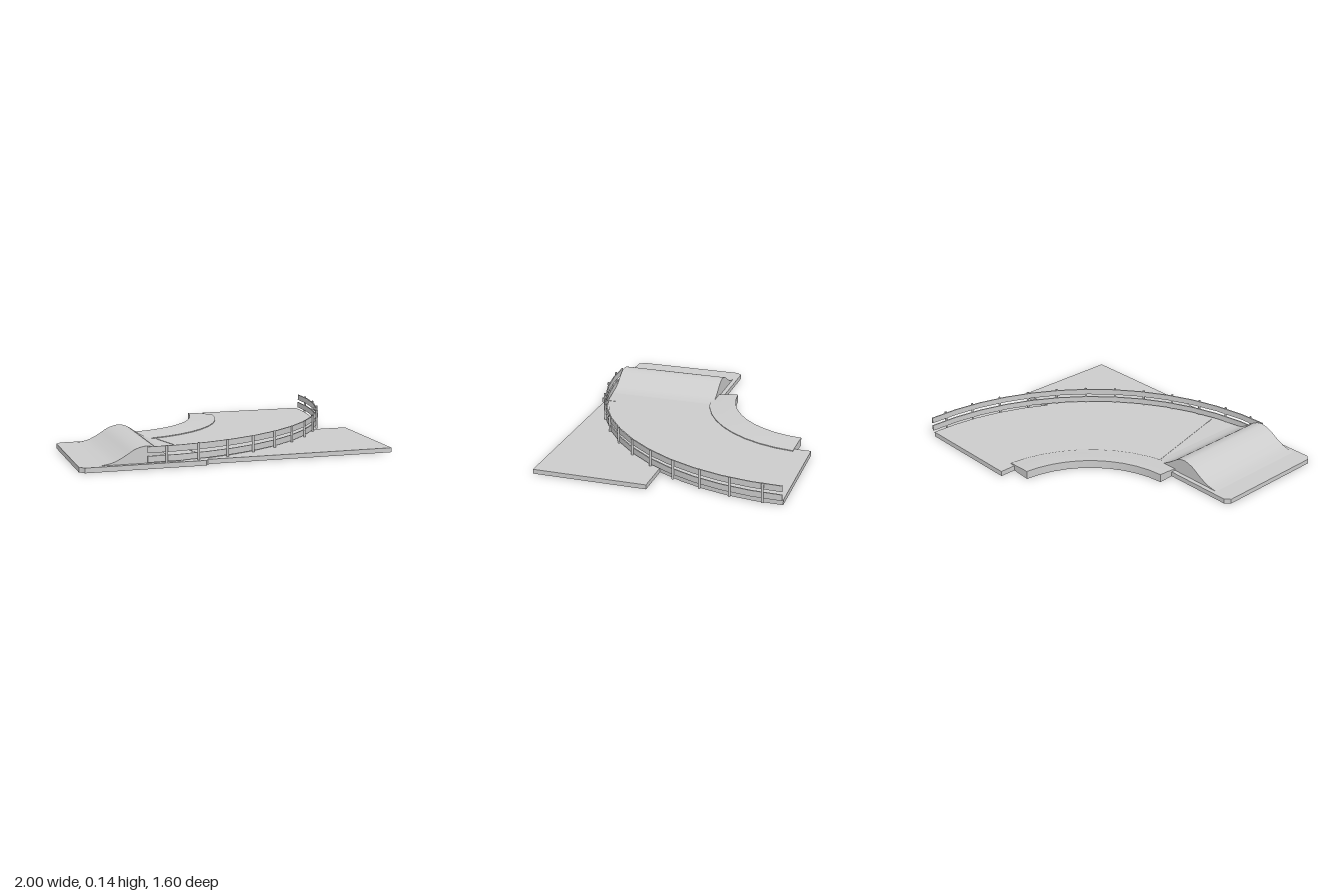
import * as THREE from 'three';
import { toCreasedNormals } from 'three/addons/utils/BufferGeometryUtils.js';

const CX = -0.55, CZ = -0.745; // centre of the bend
const rad = THREE.MathUtils.degToRad;
const material = new THREE.MeshStandardMaterial({ color: 0xcccccc, side: THREE.DoubleSide });

function add(parent, name, geometry) {
  const mesh = new THREE.Mesh(geometry, material);
  mesh.name = name;
  parent.add(mesh);
  return mesh;
}

// Drops the triangles that face straight down, leaving a hollow shell.
function openBottom(geometry) {
  const g = geometry.index ? geometry.toNonIndexed() : geometry;
  const p = g.attributes.position, kept = [];
  const t = new THREE.Triangle(), n = new THREE.Vector3();
  for (let i = 0; i < p.count; i += 3) {
    t.setFromAttributeAndIndices(p, i, i + 1, i + 2);
    t.getNormal(n);
    if (n.y > -0.9) for (const v of [t.a, t.b, t.c]) kept.push(v.x, v.y, v.z);
  }
  const out = new THREE.BufferGeometry();
  out.setAttribute('position', new THREE.Float32BufferAttribute(kept, 3));
  return toCreasedNormals(out, rad(35));
}

// Hollow plate from an outline of [x, z] points.
function plate(outline, height) {
  const shape = new THREE.Shape(outline.map(([x, z]) => new THREE.Vector2(x, -z)));
  const g = new THREE.ExtrudeGeometry(shape, { depth: height, bevelEnabled: false });
  return openBottom(g.rotateX(-Math.PI / 2));
}

// Point on the bend; 0 degrees is the front, 90 the left side.
const onArc = (r, deg) => [CX + r * Math.sin(rad(deg)), CZ + r * Math.cos(rad(deg))];

// Sweeps an [r, y] profile round the bend.
function sweep(profile, from, to, segments) {
  const pts = profile.map(([r, y]) => new THREE.Vector2(r, y));
  const g = new THREE.LatheGeometry(pts, segments, rad(from), rad(to - from));
  return toCreasedNormals(g, rad(35)).translate(CX, 0, CZ);
}

// Flat end face of a swept profile.
function endCap(profile, deg) {
  const shape = new THREE.Shape(profile.map(([r, y]) => new THREE.Vector2(r, y)));
  return new THREE.ShapeGeometry(shape).rotateY(rad(deg - 90)).translate(CX, 0, CZ);
}

export function createModel() {
  const model = new THREE.Group();
  model.name = 'roadJunction';

  // Straight road slab
  add(model, 'straightRoad', plate([[-0.2, 0.03], [1, 0.03], [1, 0.765], [-0.2, 0.765]], 0.029));

  // Slab under the hump, with notched corners
  add(model, 'rampSlab', plate([
    [-1, 0.03], [-0.985, 0.02], [-0.97, 0], [-0.23, 0], [-0.2, 0.03],
    [-0.2, 0.77], [-0.215, 0.775], [-0.23, 0.8], [-0.97, 0.8], [-0.985, 0.78], [-1, 0.77],
  ], 0.031));

  // Curved road
  const bend = [];
  const N = 12;
  for (let i = 0; i <= N; i++) bend.push(onArc(1.51, 14 + (92.1 - 14) * i / N));
  for (let i = N; i >= 0; i--) bend.push(onArc(0.78, 14 + (94 - 14) * i / N));
  add(model, 'curvedRoad', plate(bend, 0.033));

  // Hump across the slab
  const hump = new THREE.Shape();
  hump.moveTo(-0.88, 0.03);
  hump.splineThru([
    [-0.8, 0.044], [-0.73, 0.077], [-0.67, 0.114], [-0.62, 0.131], [-0.58, 0.134],
    [-0.53, 0.117], [-0.47, 0.076], [-0.41, 0.043], [-0.34, 0.03],
  ].map(([x, y]) => new THREE.Vector2(x, y)));
  hump.closePath();
  const humpGeometry = new THREE.ExtrudeGeometry(hump, { depth: 0.74, bevelEnabled: false, curveSegments: 3 });
  add(model, 'hump', openBottom(humpGeometry.translate(0, 0, 0.03)));

  // Banked curb on the inside of the bend
  const curb = [[0.64, 0], [0.64, 0.054], [0.69, 0.052], [0.75, 0.045], [0.82, 0.038], [0.82, 0.026]];
  add(model, 'innerCurb', sweep(curb, 2.8, 86.2, 10));
  const capProfile = [...curb.slice(0, -1), [0.82, 0]];
  for (const deg of [2.8, 86.2]) add(model, 'innerCurbEnd', endCap(capProfile, deg));

  // Guard fence: two rails and a row of posts outside them
  const fence = new THREE.Group();
  fence.name = 'fence';
  model.add(fence);
  for (const y of [0.037, 0.094]) {
    const rail = [[1.525, y], [1.533, y], [1.533, y + 0.038], [1.525, y + 0.038], [1.525, y]];
    add(fence, 'fenceRail', sweep(rail, -1.5, 92, 13));
    for (const deg of [-1.5, 92]) add(fence, 'fenceRailEnd', endCap(rail, deg));
  }
  const posts = 12;
  for (let i = 0; i < posts; i++) {
    const [x, z] = onArc(1.536, 2.8 + 84.8 * i / (posts - 1));
    const post = add(fence, 'fencePost', new THREE.CylinderGeometry(0.008, 0.008, 0.125, 8));
    post.position.set(x, 0.0735, z);
  }
  return model;
}
